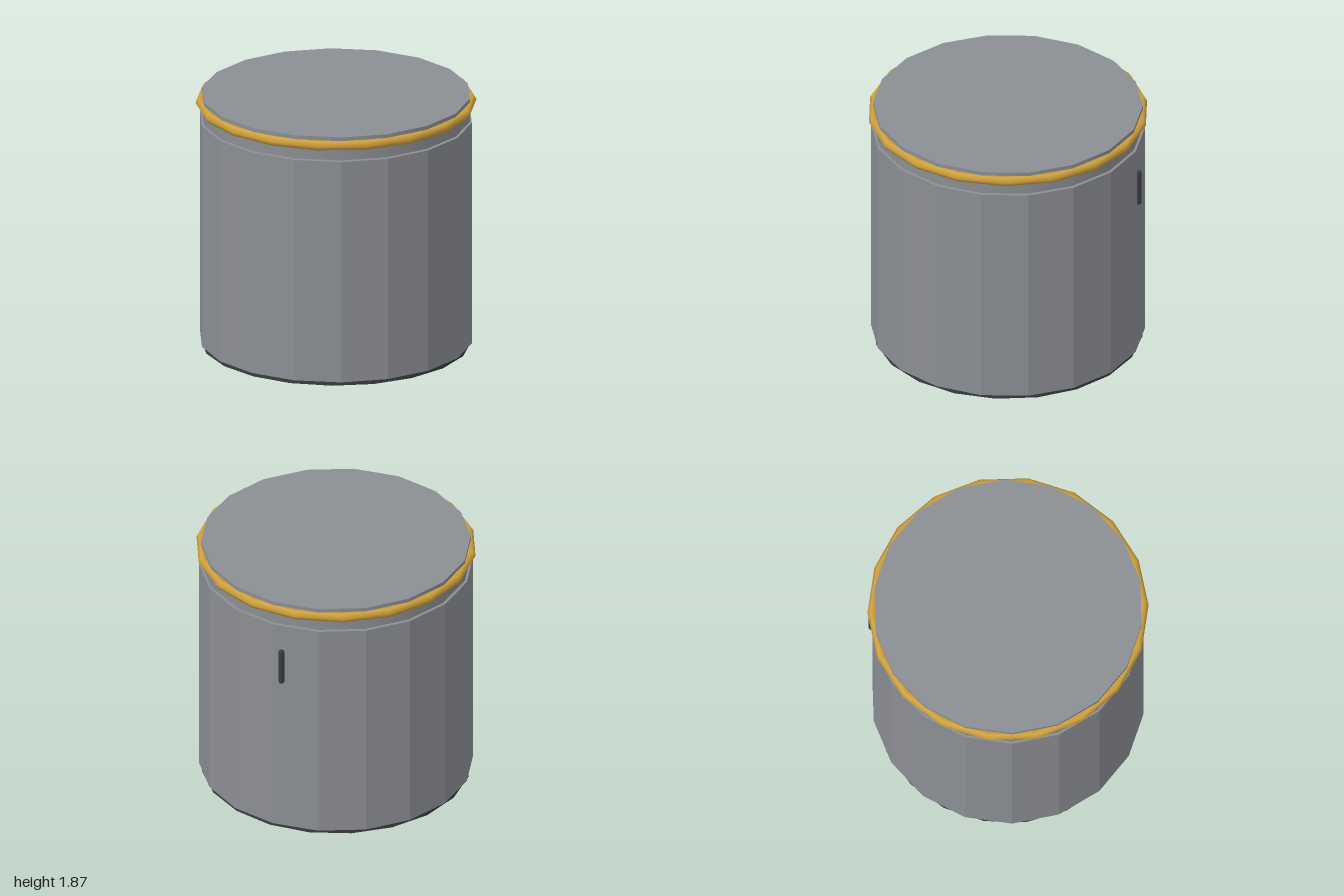
import * as THREE from 'three';

export function createModel() {
  const model = new THREE.Group();
  model.name = 'canister';

  const paint = (name, color, flatShading = false) => {
    const m = new THREE.MeshStandardMaterial({ color, flatShading });
    m.name = name;
    return m;
  };
  const steel = paint('steel grey', 0x8b8e93);
  const gold = paint('gold', 0xd0a23e);
  const dark = paint('dark grey', 0x3a3c41);

  const add = (name, geometry, material, x, y, z) => {
    const mesh = new THREE.Mesh(geometry, material);
    mesh.name = name;
    mesh.position.set(x, y, z);
    model.add(mesh);
    return mesh;
  };
  // Upright drum between two heights
  const drum = (name, radius, sides, y0, y1, material) =>
    add(name, new THREE.CylinderGeometry(radius, radius, y1 - y0, sides), material, 0, (y0 + y1) / 2, 0);

  // Faceted body: split vertices so each panel is flat
  const body = drum('body', 0.975, 18, 0.03, 1.69, steel);
  body.geometry = body.geometry.toNonIndexed();
  body.geometry.computeVertexNormals();

  drum('base', 0.96, 20, 0, 0.035, dark);
  drum('lid', 0.96, 18, 1.697, 1.87, steel);

  // Trim ring around the lid
  const ring = add('trimRing', new THREE.TorusGeometry(0.963, 0.037, 6, 18), gold, 0, 1.81, 0);
  ring.rotation.x = Math.PI / 2;

  // Small upright grip on the back
  const angle = THREE.MathUtils.degToRad(204);
  const grip = add('grip', new THREE.CapsuleGeometry(0.023, 0.235, 3, 8), dark,
    0.972 * Math.sin(angle), 1.355, 0.972 * Math.cos(angle));
  grip.rotation.y = angle;

  return model;
}
